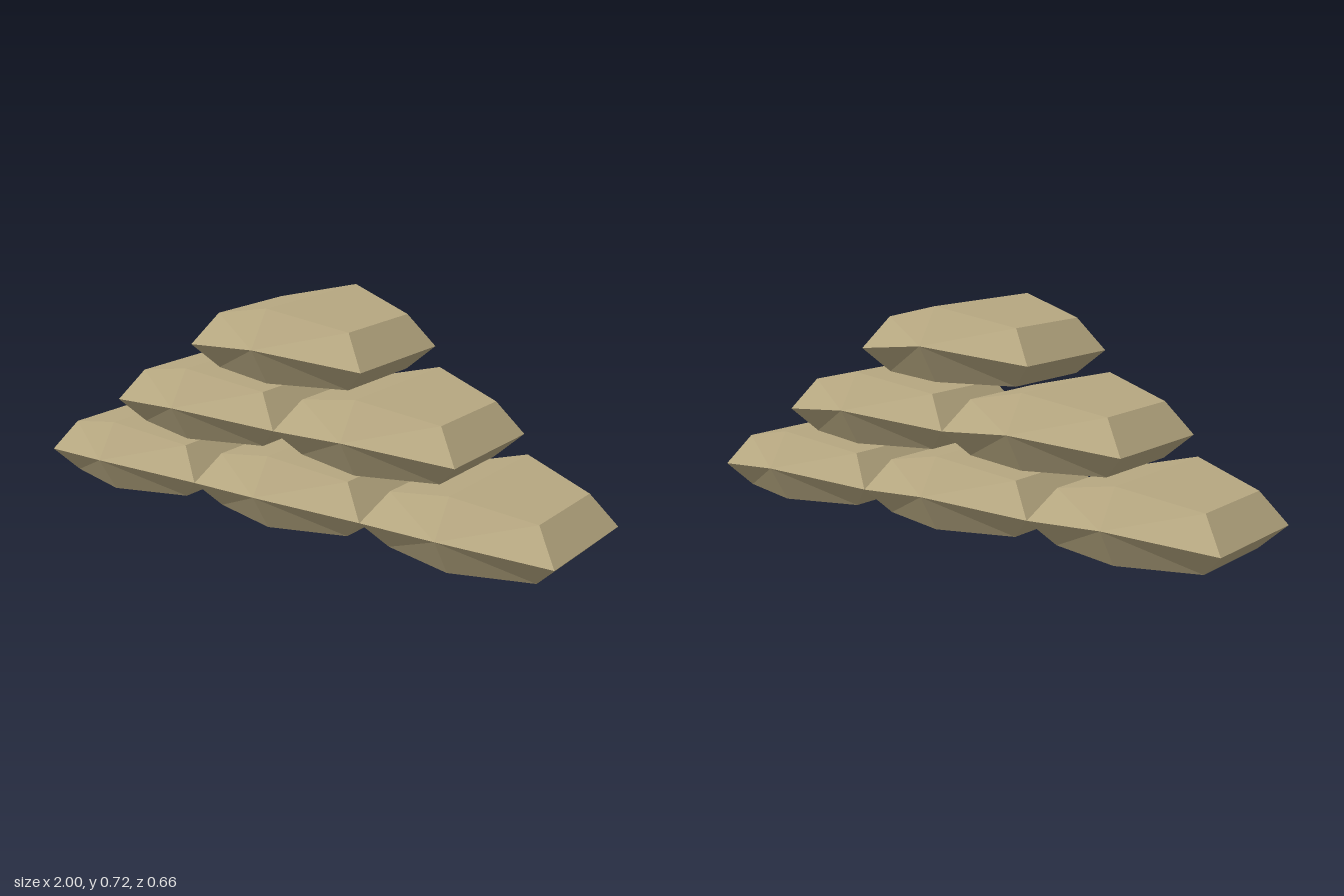
import * as THREE from 'three';

// One six-sided ring: a front and back tip on x = 0 and four side corners
function ring(halfX, sideY, sideZ, tipY, tipZ) {
  return [
    [0, tipY, tipZ], [halfX, sideY, sideZ], [halfX, sideY, -sideZ],
    [0, tipY, -tipZ], [-halfX, sideY, -sideZ], [-halfX, sideY, sideZ],
  ];
}

// Faceted sandbag: flat base, bulging waist and a top ridged along z
function sandbagGeometry() {
  const rings = [
    ring(0.255, 0, 0.17, 0, 0.25),
    ring(0.333, 0.076, 0.22, 0.122, 0.328),
    ring(0.255, 0.182, 0.17, 0.24, 0.25),
  ];
  const index = [];

  // Side bands; the folds run from the waist tips to the outer corners
  for (let band = 0; band < 2; band++) {
    for (let i = 0; i < 6; i++) {
      const j = (i + 1) % 6;
      const a = band * 6 + i, b = band * 6 + j;
      const c = b + 6, d = a + 6;
      const tipFirst = i % 3 === 0;
      if (tipFirst === (band === 0)) index.push(a, b, d, b, c, d);
      else index.push(a, b, c, a, c, d);
    }
  }

  // Base, then the two slopes of the top
  for (let i = 1; i < 5; i++) index.push(0, i + 1, i);
  for (const [a, b, c, d] of [[12, 13, 14, 15], [15, 16, 17, 12]]) {
    index.push(a, b, c, a, c, d);
  }

  const indexed = new THREE.BufferGeometry();
  indexed.setAttribute('position', new THREE.Float32BufferAttribute(rings.flat(2), 3));
  indexed.setIndex(index);
  const geometry = indexed.toNonIndexed();
  geometry.computeVertexNormals();
  return geometry;
}

export function createModel() {
  const model = new THREE.Group();
  model.name = 'sandbagPile';
  const geometry = sandbagGeometry();
  const material = new THREE.MeshStandardMaterial({ color: 0xb8a982, flatShading: true });

  // Stack of three, two and one bags
  for (let row = 0; row < 3; row++) {
    const count = 3 - row;
    for (let i = 0; i < count; i++) {
      const bag = new THREE.Mesh(geometry, material);
      bag.name = `sandbagRow${row + 1}Number${i + 1}`;
      bag.position.set((i - (count - 1) / 2) * 0.667, row * 0.24, 0);
      model.add(bag);
    }
  }
  return model;
}
